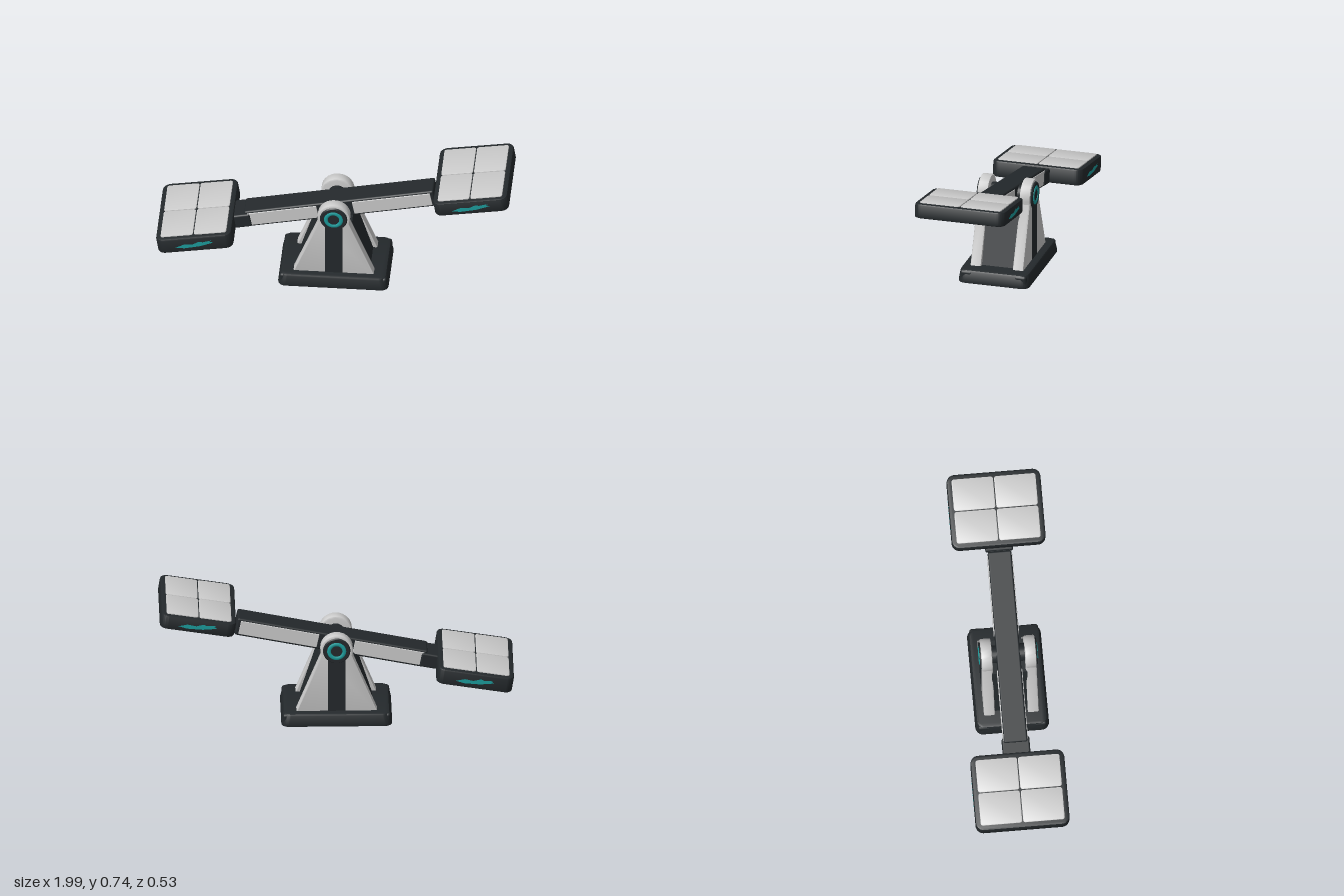
import * as THREE from 'three';
import { toCreasedNormals } from 'three/addons/utils/BufferGeometryUtils.js';
import { RoundedBoxGeometry } from 'three/addons/geometries/RoundedBoxGeometry.js';

const dark = new THREE.MeshStandardMaterial({ color: 0x24292c });
const grey = new THREE.MeshStandardMaterial({ color: 0xcccccc });
const teal = new THREE.MeshStandardMaterial({ color: 0x1c9c9c });

function add(parent, name, geometry, material, x = 0, y = 0, z = 0) {
  const mesh = new THREE.Mesh(geometry, material);
  mesh.name = name;
  mesh.position.set(x, y, z);
  parent.add(mesh);
  return mesh;
}

const box = (w, h, d, r = 0.01) => new RoundedBoxGeometry(w, h, d, 2, r);

// Extrusion along z with bevelled rims, centred on z = 0; the outline is the outermost size
function extrude(shape, depth, bevel) {
  const g = new THREE.ExtrudeGeometry(shape, {
    depth: depth - 2 * bevel, bevelEnabled: bevel > 0, bevelThickness: bevel,
    bevelSize: bevel, bevelOffset: -bevel, bevelSegments: 2, curveSegments: 8,
  });
  g.translate(0, 0, -depth / 2 + bevel);
  return toCreasedNormals(g, 0.6);
}

// Horizontal slab with rounded corners, centred on the origin
function slab(w, d, h, r, bevel) {
  const a = w / 2, b = d / 2, s = new THREE.Shape();
  s.absarc(a - r, b - r, r, 0, Math.PI / 2);
  s.absarc(-a + r, b - r, r, Math.PI / 2, Math.PI);
  s.absarc(-a + r, -b + r, r, Math.PI, Math.PI * 1.5);
  s.absarc(a - r, -b + r, r, Math.PI * 1.5, Math.PI * 2);
  s.closePath();
  return extrude(s, h, bevel).rotateX(-Math.PI / 2);
}

// A-shaped outline: wide foot, sides tangent to a round head
function aShape(foot, bottom, headY, r) {
  const dy = headY - bottom;
  const t = Math.asin(r / Math.hypot(foot, dy)) - Math.atan2(foot, dy) + Math.PI / 2;
  const tilt = Math.PI / 2 - t;
  const s = new THREE.Shape();
  s.moveTo(-foot, bottom);
  s.lineTo(foot, bottom);
  s.absarc(0, headY, r, -tilt, Math.PI + tilt);
  s.closePath();
  return s;
}

// Jagged glowing streak, drawn flat
function streak() {
  const pts = [[-0.11, -0.012], [-0.06, -0.02], [0.03, -0.014], [0.07, -0.005], [0.11, 0.004],
    [0.09, 0.012], [0.1, 0.02], [0.05, 0.012], [0.03, 0.018], [-0.01, 0.002], [-0.06, 0.006]];
  return new THREE.ShapeGeometry(new THREE.Shape(pts.map(p => new THREE.Vector2(...p))));
}

// Platform: dark tray, four light tiles on top and a streak on each long side
function platform(name, len, thick, underPanel) {
  const g = new THREE.Group();
  g.name = name;
  add(g, 'tray', slab(len, 0.53, thick, 0.045, 0.01), dark);
  const tw = (len - 0.05) / 2, td = 0.24;
  for (const sx of [-1, 1]) for (const sz of [-1, 1]) {
    add(g, 'tile', slab(tw - 0.005, td - 0.005, 0.012, 0.014, 0.003), grey,
      sx * tw / 2, thick / 2, sz * td / 2);
  }
  for (const side of [-1, 1]) {
    const m = add(g, 'glowStreak', streak(), teal, 0, 0, side * 0.2665);
    if (side < 0) m.rotation.y = Math.PI;
  }
  if (underPanel) add(g, 'underPanel', slab(len - 0.05, 0.48, 0.006, 0.03, 0.002), grey, 0, -thick / 2, 0);
  return g;
}

export function createModel() {
  const model = new THREE.Group();
  model.name = 'seesaw';
  const pivotY = 0.453;

  // Base plate, narrowing towards the top
  const base = slab(0.63, 0.42, 0.078, 0.045, 0.012);
  const p = base.attributes.position;
  for (let i = 0; i < p.count; i++) {
    const k = 1 - 0.055 * (p.getY(i) / 0.078 + 0.5);
    p.setX(i, p.getX(i) * k);
    p.setZ(i, p.getZ(i) * k);
  }
  add(model, 'base', toCreasedNormals(base, 0.6), dark, 0, 0.039, 0);
  for (const sx of [-1, 1]) for (const sz of [-1, 1]) {
    add(model, 'baseCorner', box(0.09, 0.06, 0.075, 0.015), dark, sx * 0.258, 0.044, sz * 0.157);
  }

  // Stand: dark core between two light side plates
  const core = new THREE.Shape([[-0.205, 0.07], [0.205, 0.07], [0.1, 0.4], [-0.1, 0.4]]
    .map(c => new THREE.Vector2(...c)));
  add(model, 'standCore', extrude(core, 0.2, 0), dark);
  for (const side of [-1, 1]) {
    const plate = new THREE.Group();
    plate.name = 'sidePlate';
    plate.rotation.y = side > 0 ? 0 : Math.PI;
    model.add(plate);
    add(plate, 'plate', extrude(aShape(0.23, 0.07, pivotY, 0.092), 0.062, 0.008), grey, 0, 0, 0.124);
    add(plate, 'plateStrip', box(0.1, 0.32, 0.01, 0.003), dark, 0, 0.235, 0.152);
    add(plate, 'pivotCap', new THREE.CylinderGeometry(0.072, 0.08, 0.012, 32).rotateX(Math.PI / 2),
      dark, 0, pivotY, 0.157);
    add(plate, 'pivotRing', new THREE.TorusGeometry(0.043, 0.011, 8, 32).scale(1, 1, 0.4),
      teal, 0, pivotY, 0.163);
  }
  add(model, 'axle', new THREE.CylinderGeometry(0.05, 0.05, 0.22, 24).rotateX(Math.PI / 2), dark, 0, pivotY, 0);

  // Tilted beam with light side panels and a dark neck at each end
  const beam = new THREE.Group();
  beam.name = 'beam';
  beam.position.y = pivotY;
  beam.rotation.z = 0.2;
  model.add(beam);
  add(beam, 'beamBody', box(1.09, 0.105, 0.134), dark, 0.03, 0, 0);
  for (const side of [-1, 1]) for (const [x, len] of [[-0.3, 0.4], [0.33, 0.45]]) {
    add(beam, 'beamSidePanel', box(len, 0.082, 0.01, 0.003), grey, x, 0, side * 0.066);
  }
  add(beam, 'leftNeck', box(0.1, 0.085, 0.156), dark, -0.535, -0.004, 0);

  // Lower platform on the right hand of the frame's negative side, upper one opposite
  const lower = platform('lowerPlatform', 0.431, 0.094, true);
  lower.position.set(-0.778, 0.307, 0);
  lower.rotation.z = 0.163;
  const upper = platform('upperPlatform', 0.424, 0.084, false);
  upper.position.set(0.783, 0.667, 0);
  upper.rotation.z = 0.16;
  model.add(lower, upper);

  // Stepped bracket carrying the upper platform
  add(upper, 'upperBracket', box(0.175, 0.05, 0.156), dark, -0.138, -0.057, 0);
  add(upper, 'bracketFoot', box(0.06, 0.05, 0.13), dark, -0.2, -0.067, 0);
  return model;
}
